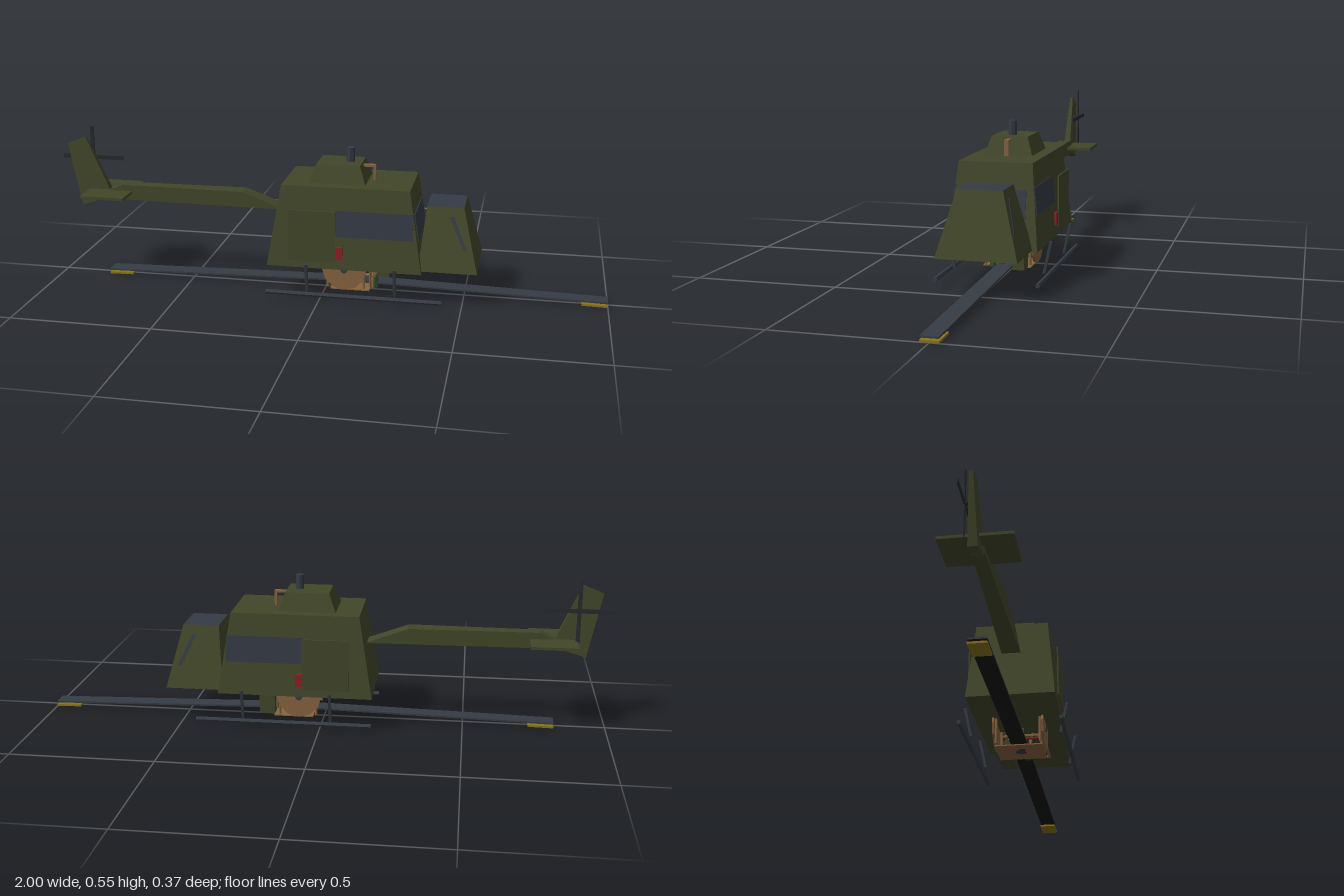
import * as THREE from 'three';

const mat = (name, color) => {
  const m = new THREE.MeshStandardMaterial({ color, side: THREE.DoubleSide, flatShading: true });
  m.name = name;
  return m;
};

export function createModel() {
  const olive = mat('olive', 0x42472a), glass = mat('glass', 0x353b45), slate = mat('slate', 0x363c44),
    charcoal = mat('charcoal', 0x26292d), black = mat('black', 0x121212), brown = mat('brown', 0x86633f),
    red = mat('red', 0x8c1f22), yellow = mat('yellow', 0x8a741a), green = mat('darkGreen', 0x28492a);
  const model = new THREE.Group();
  model.name = 'helicopter';

  const add = (name, geometry, material) => {
    const mesh = new THREE.Mesh(geometry, material);
    mesh.name = name;
    model.add(mesh);
    return mesh;
  };
  // Solid between two horizontal rectangles, each given as [x0, x1, z0, z1]
  const frustum = (name, y0, a, y1, b, material) => {
    const g = new THREE.BoxGeometry(1, 1, 1), p = g.attributes.position;
    for (let i = 0; i < p.count; i++) {
      const top = p.getY(i) > 0, r = top ? b : a;
      p.setXYZ(i, r[p.getX(i) > 0 ? 1 : 0], top ? y1 : y0, r[p.getZ(i) > 0 ? 3 : 2]);
    }
    g.computeVertexNormals();
    return add(name, g, material);
  };
  const box = (name, x0, x1, y0, y1, z0, z1, material) =>
    frustum(name, y0, [x0, x1, z0, z1], y1, [x0, x1, z0, z1], material);
  // Straight round bar between two points
  const rod = (name, a, b, r, material, sides = 6) => {
    const p = new THREE.Vector3(...a), q = new THREE.Vector3(...b), d = q.clone().sub(p);
    const mesh = add(name, new THREE.CylinderGeometry(r, r, d.length(), sides), material);
    mesh.position.copy(p).add(q).multiplyScalar(0.5);
    mesh.quaternion.setFromUnitVectors(new THREE.Vector3(0, 1, 0), d.normalize());
    return mesh;
  };
  // Side-profile extrusion; halfWidth(x, y) gives the half thickness
  const profile = (name, points, halfWidth, material) => {
    const shape = new THREE.Shape(points.map(([x, y]) => new THREE.Vector2(x, y)));
    const g = new THREE.ExtrudeGeometry(shape, { depth: 1, bevelEnabled: false });
    const p = g.attributes.position;
    for (let i = 0; i < p.count; i++) {
      p.setZ(i, (p.getZ(i) > 0.5 ? 1 : -1) * halfWidth(p.getX(i), p.getY(i)));
    }
    g.computeVertexNormals();
    return add(name, g, material);
  };

  // Fuselage
  frustum('cabin', 0.123, [-0.185, 0.36, -0.154, 0.154], 0.412, [-0.137, 0.313, -0.127, 0.127], olive);
  frustum('nose', 0.13, [0.345, 0.55, -0.137, 0.137], 0.349, [0.367, 0.495, -0.076, 0.076],
    [olive, olive, glass, olive, olive, olive]);
  frustum('windshield', 0.23, [0.339, 0.346, -0.11, 0.11], 0.325, [0.323, 0.33, -0.11, 0.11], glass);
  frustum('mastHousing', 0.412, [-0.05, 0.152, -0.085, 0.085], 0.475, [-0.025, 0.13, -0.064, 0.064], olive);
  rod('mast', [0.087, 0.47, 0], [0.087, 0.526, 0], 0.015, slate, 8);
  box('roofPipeTop', 0.125, 0.177, 0.459, 0.467, -0.008, 0.008, brown);
  box('roofPipe', 0.169, 0.177, 0.41, 0.467, -0.008, 0.008, brown);

  // Mirrored fuselage sides, skids and lower frame
  for (const s of [-1, 1]) {
    const zs = (x0, x1, a, b) => [x0, x1, Math.min(s * a, s * b), Math.max(s * a, s * b)];
    const side = (name, x0, x1, y0, y1, a, b, m) => {
      const r = zs(x0, x1, a, b);
      return frustum(name, y0, r, y1, r, m);
    };
    frustum('sideWindow', 0.24, zs(0.06, 0.328, 0.14, 0.146), 0.333, zs(0.06, 0.328, 0.131, 0.137), glass);
    frustum('noseWindow', 0.208, zs(0.498, 0.511, 0.11, 0.117), 0.317, zs(0.447, 0.46, 0.08, 0.087), glass);
    side('door', -0.105, 0.06, 0.15, 0.333, 0.154, 0.159, olive);
    side('doorHandle', 0.06, 0.084, 0.16, 0.205, 0.147, 0.157, red);
    rod('skid', [-0.185, 0.032, s * 0.174], [0.435, 0.032, s * 0.174], 0.008, slate);
    for (const x of [-0.04, 0.27])
      frustum('skidStrut', 0.034, zs(x - 0.005, x + 0.005, 0.152, 0.161),
        0.144, zs(x - 0.005, x + 0.005, 0.175, 0.185), slate);
    rod('sideDisc', [0.08, 0.104, s * 0.083], [0.08, 0.104, s * 0.091], 0.08, brown, 12);
    rod('discHub', [0.08, 0.1, s * 0.09], [0.08, 0.1, s * 0.094], 0.013, slate, 8);
    rod('frameRail', [0.15, 0.126, s * 0.07], [0.385, 0.11, s * 0.07], 0.005, brown);
    for (const x of [0.02, 0.15]) rod('framePost', [x, 0.03, s * 0.078], [x, 0.126, s * 0.078], 0.005, brown);
  }
  rod('frameCrossbar', [0.385, 0.11, -0.07], [0.385, 0.11, 0.07], 0.005, brown);

  // Equipment hanging below the cabin
  box('lowerPlate', 0.03, 0.17, 0.023, 0.027, -0.085, 0.085, brown);
  box('equipmentBox', 0.17, 0.225, 0.027, 0.1, -0.075, -0.035, olive);
  rod('boxHanger', [0.197, 0.095, -0.055], [0.197, 0.13, -0.055], 0.008, brown);
  box('redBar', 0.15, 0.158, 0.094, 0.1, -0.035, 0.08, red);
  box('upperBar', 0.152, 0.16, 0.105, 0.113, -0.075, 0.075, brown);
  rod('centrePost', [0.12, 0.03, 0], [0.12, 0.126, 0], 0.007, brown);
  for (const z of [-0.02, 0.025, 0.065]) {
    rod('crossPipe', [0.17, 0.03, z - 0.008], [0.17, 0.126, z + 0.008], 0.004, brown);
    rod('crossPipe', [0.18, 0.03, z + 0.008], [0.18, 0.126, z - 0.008], 0.004, brown);
  }
  for (const z of [0.015, 0.045]) {
    const cone = add('greenCone', new THREE.CylinderGeometry(0.004, 0.014, 0.036, 6), green);
    cone.position.set(0.185, 0.045, z);
  }

  // Lower rotor: two drooping blades with dark undersides and coloured tips
  rod('rotorHub', [0.09, 0.023, 0], [0.09, 0.043, 0], 0.03, slate, 8);
  for (const s of [-1, 1]) {
    const blade = add('rotorBlade', new THREE.BoxGeometry(0.91, 0.006, 0.058),
      [slate, slate, slate, black, slate, slate]);
    blade.position.set(0.09 + s * 0.455, 0.027, 0);
    blade.rotation.z = -s * 0.022;
    const tip = add('bladeTip', new THREE.BoxGeometry(0.09, 0.007, 0.06), yellow);
    tip.position.set(0.09 + s * 0.865, 0.005, 0);
    tip.rotation.z = -s * 0.022;
  }

  // Tail
  profile('tailBoom', [[-0.15, 0.292], [-0.3, 0.348], [-0.757, 0.348], [-0.83, 0.315], [-0.82, 0.292]],
    x => 0.036 + 0.02 * x, olive);
  box('stabilizer', -0.885, -0.722, 0.315, 0.325, -0.116, 0.116, olive);
  profile('tailFin', [[-0.917, 0.262], [-0.822, 0.292], [-0.81, 0.327], [-0.895, 0.517], [-0.965, 0.489]],
    (x, y) => 0.026 - 0.04 * y, olive);
  rod('tailRotorShaft', [-0.884, 0.433, 0], [-0.884, 0.433, -0.034], 0.008, charcoal);
  box('tailRotorBlade', -1, -0.768, 0.426, 0.441, -0.034, -0.03, charcoal);
  box('tailRotorBlade', -0.891, -0.877, 0.317, 0.55, -0.034, -0.03, charcoal);

  return model;
}
